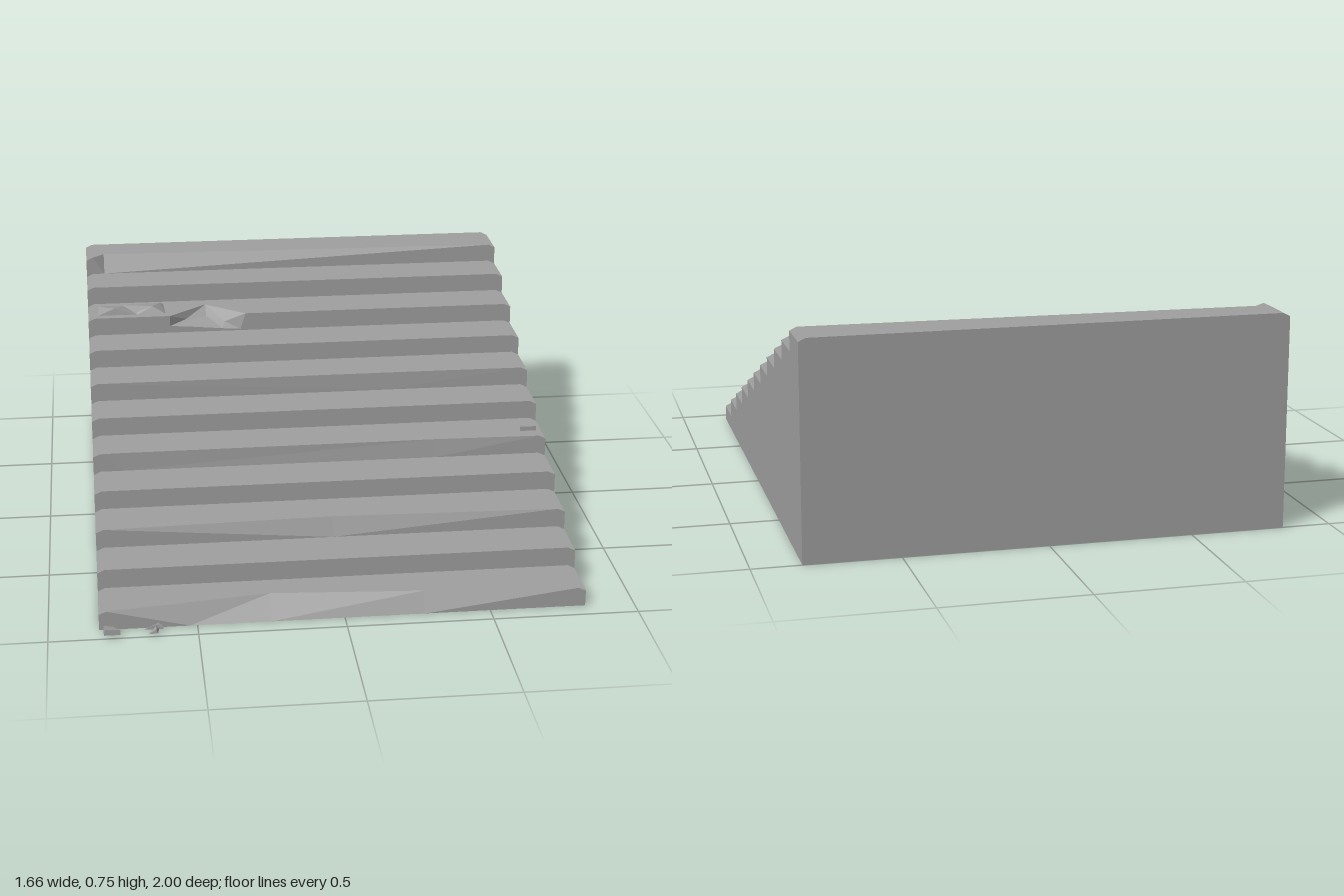
import * as THREE from 'three';
import { ConvexGeometry } from 'three/addons/geometries/ConvexGeometry.js';

const STEPS = 11, HALF = 0.83, BEVEL = 0.025, DROP = 0.012;
const FRONT = 0.935, BACK = -1, HEIGHT = 0.75;
const RUN = (FRONT - BACK) / STEPS, RISE = HEIGHT / STEPS;
const frontZ = (i) => FRONT - i * RUN;
const inner = HALF - BEVEL;

// Worn risers that lean back: step index -> [x, setback of the upper edge]
const WEAR = {
  0: [[-0.525, 0.0375], [-0.25, 0.075], [0.275, 0.0375]],
  2: [[0, 0.026]],
  4: [[-0.73, 0.003], [0.42, 0.008]],
  6: [[0.3, 0.003]],
  10: [[-0.76, 0.042]],
};

// A column holds lip, middle and top points, each [x, depth below tread, setback]
const plain = (x) => [[x, 0, 0], [x, 0, 0], [x, 0, 0]];
const worn = ([x, s]) => [[x, RISE, 0], [x, 0, s], [x, 0, s]];

// Broken notch in one step
const NOTCH_STEP = 8, PEAK = [-0.37, 0, 0.125];
const NOTCH = [
  plain(-0.515),
  [[-0.515, 0.041, 0], [-0.45, 0.03, 0.045], PEAK],
  [[-0.44, 0.046, 0], [-0.37, 0.03, 0.075], PEAK],
  [[-0.31, 0.058, 0], [-0.37, 0.03, 0.075], PEAK],
  [[-0.24, 0.063, 0], [-0.3, 0.04, 0.03], PEAK],
  plain(-0.22),
];

// Riser and tread of one step, as strips between columns running left to right
function stepGeometry(i) {
  const z = frontZ(i), y0 = i * RISE, y1 = y0 + RISE;
  const damage = i === NOTCH_STEP ? NOTCH : (WEAR[i] || []).map(worn);
  const columns = [plain(-HALF), plain(-inner), ...damage, plain(inner), plain(HALF)];
  const drop = (x) => (Math.abs(x) > inner + 0.001 ? DROP : 0);
  const rows = columns.map((points) => {
    const lipX = points[0][0], topX = points[2][0];
    return [
      [lipX, i ? y0 - drop(lipX) : 0, z],
      ...points.map(([x, depth, s]) => [x, y1 - drop(x) - depth, z - s]),
      [topX, y1 - drop(topX), z - RUN],
    ];
  });
  const p = [], treadVertices = [];
  for (let c = 0; c < rows.length - 1; c++) {
    for (let r = 0; r < 4; r++) {
      const a = rows[c][r], b = rows[c + 1][r], d = rows[c + 1][r + 1], e = rows[c][r + 1];
      if (r === 3) for (let k = 0; k < 6; k++) treadVertices.push(p.length / 3 + k);
      p.push(...a, ...b, ...d, ...a, ...d, ...e);
    }
  }
  const g = new THREE.BufferGeometry();
  g.setAttribute('position', new THREE.Float32BufferAttribute(p, 3));
  g.computeVertexNormals();
  // Treads shade evenly across their clipped ends
  for (const v of treadVertices) g.attributes.normal.setXYZ(v, 0, 1, 0);
  return g;
}

// Stepped outline of a side wall
function sideGeometry() {
  const s = new THREE.Shape();
  s.moveTo(-FRONT, 0);
  s.lineTo(-BACK, 0);
  s.lineTo(-BACK, HEIGHT - DROP);
  for (let i = STEPS - 1; i >= 0; i--) {
    s.lineTo(-frontZ(i), (i + 1) * RISE - DROP);
    if (i) s.lineTo(-frontZ(i), i * RISE - DROP);
  }
  s.closePath();
  return new THREE.ShapeGeometry(s).rotateY(Math.PI / 2);
}

// Back wall with clipped upper corners
function backGeometry() {
  const s = new THREE.Shape([
    [-HALF, 0], [HALF, 0], [HALF, HEIGHT - DROP], [inner, HEIGHT],
    [-inner, HEIGHT], [-HALF, HEIGHT - DROP],
  ].map(([x, y]) => new THREE.Vector2(x, y)));
  return new THREE.ShapeGeometry(s).rotateY(Math.PI).translate(0, 0, BACK);
}

// Loose stones, each the hull of a few corners
const tread9 = 9 * RISE, tread5 = 5 * RISE;
const slab = (outline, y, h) => outline.flatMap(([x, z]) => [[x, y, z], [x, y + h, z]]);
const STONES = [
  [[-0.79, tread9, -0.62], [-0.79, tread9, -0.505], [-0.69, tread9, -0.62], [-0.64, tread9, -0.505],
    [-0.73, tread9 + 0.025, -0.51]],
  [[-0.7, tread9, -0.625], [-0.535, tread9, -0.625], [-0.64, tread9, -0.5], [-0.53, tread9, -0.5],
    [-0.64, tread9 + 0.008, -0.51], [-0.58, tread9 + 0.029, -0.515], [-0.55, tread9 + 0.012, -0.6]],
  slab([[0.745, 0.18], [0.805, 0.18], [0.805, 0.105], [0.775, 0.105], [0.76, 0.14]], tread5, 0.017),
  [[-0.815, 0.008, 0.935], [-0.785, 0.008, 0.935], [-0.815, 0.015, 0.935], [-0.785, 0.012, 0.935],
    [-0.815, 0.01, 0.995], [-0.76, 0.01, 0.995], [-0.81, 0.03, 0.994], [-0.76, 0.028, 0.994]],
  [[-0.65, 0.006, 0.935], [-0.615, 0.006, 0.935], [-0.63, 0.018, 0.935], [-0.68, 0.008, 0.962],
    [-0.615, 0.008, 0.965], [-0.615, 0.018, 0.963], [-0.64, 0.025, 0.963]],
  [[-0.65, 0.008, 0.96], [-0.63, 0.008, 0.96], [-0.665, 0.008, 0.995], [-0.635, 0.008, 0.995],
    [-0.64, 0.022, 0.993], [-0.64, 0.02, 0.965]],
];

export function createModel() {
  const group = new THREE.Group();
  const material = new THREE.MeshStandardMaterial({ color: 0x9f9f9f });
  const wallMaterial = material.clone();
  wallMaterial.side = THREE.DoubleSide;
  const add = (name, geometry, mat = material) => {
    const mesh = new THREE.Mesh(geometry, mat);
    mesh.name = name;
    group.add(mesh);
    return mesh;
  };

  for (let i = 0; i < STEPS; i++) add(`step${i + 1}`, stepGeometry(i));

  // Closed body under the steps
  add('leftWall', sideGeometry(), wallMaterial).position.x = HALF;
  add('rightWall', sideGeometry(), wallMaterial).position.x = -HALF;
  add('backWall', backGeometry());
  add('underside', new THREE.PlaneGeometry(2 * HALF, FRONT - BACK)
    .rotateX(Math.PI / 2).translate(0, 0, (FRONT + BACK) / 2));

  STONES.forEach((points, i) => add(`looseStone${i + 1}`,
    new ConvexGeometry(points.map((q) => new THREE.Vector3(...q)))));

  return group;
}
